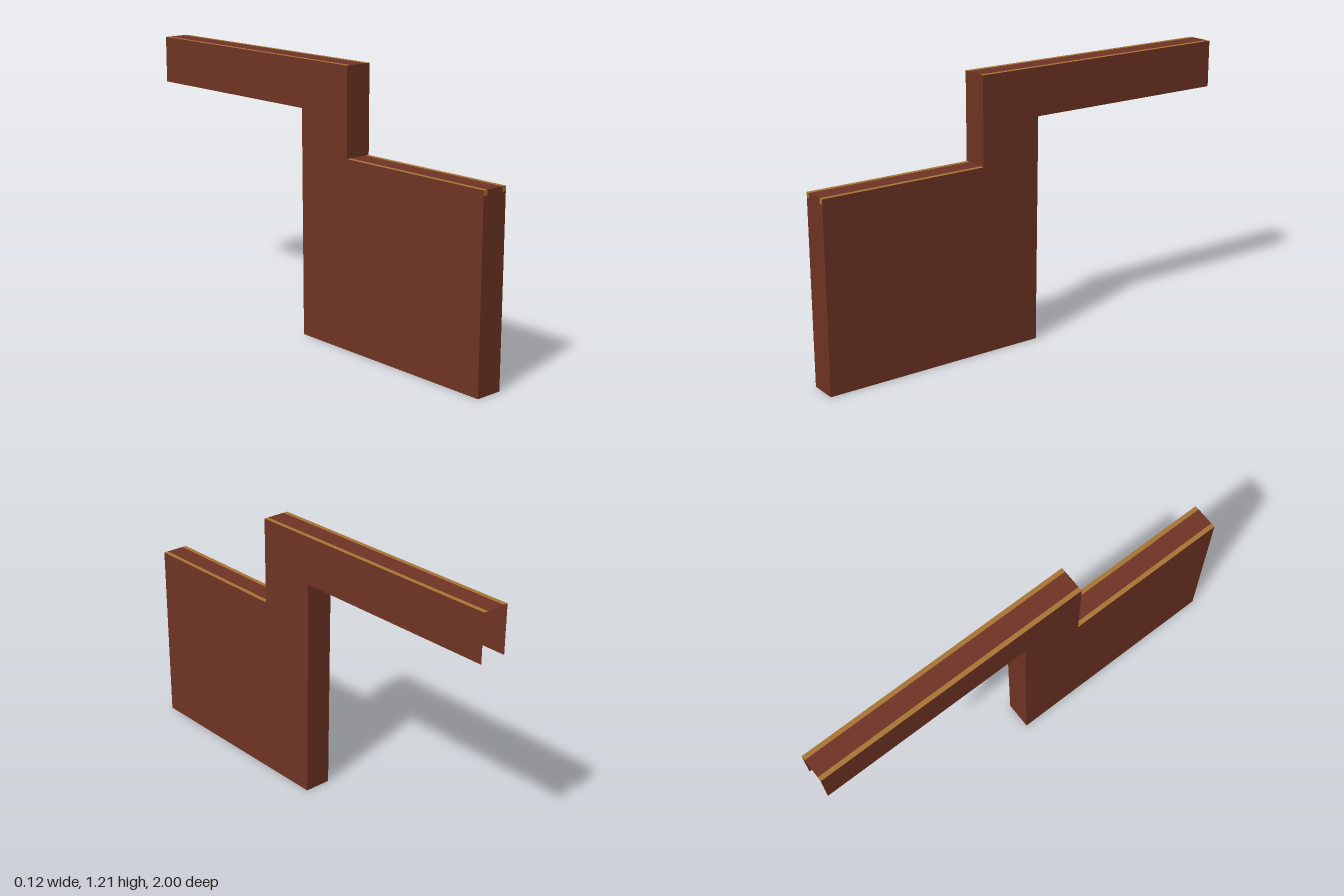
import * as THREE from 'three';

const HALF = 0.062; // half thickness of the hollow casing
const TRIM = 0.042; // inner edge of the trim strips

export function createModel() {
  const model = new THREE.Group();
  const brown = new THREE.MeshStandardMaterial({ color: 0x703424, side: THREE.DoubleSide });
  brown.name = 'reddish brown';
  const gold = new THREE.MeshStandardMaterial({ color: 0xa87434, side: THREE.DoubleSide });
  gold.name = 'gold';

  const add = (name, geometry, material) => {
    const mesh = new THREE.Mesh(geometry, material);
    mesh.name = name;
    model.add(mesh);
  };

  // Flat panel spanning x0..x1, running from [z, y] point a to point b
  const panel = (name, a, b, x0, x1, material) => {
    const g = new THREE.BufferGeometry();
    g.setAttribute('position', new THREE.Float32BufferAttribute([
      x0, a[1], a[0], x1, a[1], a[0], x1, b[1], b[0], x0, b[1], b[0]], 3));
    g.setIndex([0, 1, 2, 0, 2, 3]);
    g.computeVertexNormals();
    add(name, g, material);
  };

  // Panel with a gold strip along both long edges
  const trimmedPanel = (name, a, b) => {
    panel(name, a, b, -TRIM, TRIM, brown);
    panel(name + 'RightTrim', a, b, -HALF, -TRIM, gold);
    panel(name + 'LeftTrim', a, b, TRIM, HALF, gold);
  };

  // Side outline as [z, y]: deep body, raised neck and long rear arm
  const outline = [[1, 0], [1, 0.825], [0.25, 0.825], [0.25, 1.21],
    [-1, 1.21], [-1, 1], [-0.03, 1], [-0.02, 0]];

  // Side walls
  const shape = new THREE.Shape(outline.map(([z, y]) => new THREE.Vector2(-z, y)));
  for (const [name, x] of [['rightWall', -HALF], ['leftWall', HALF]]) {
    add(name, new THREE.ShapeGeometry(shape).rotateY(Math.PI / 2).translate(x, 0, 0), brown);
  }

  // Front, top and rear panels; the body floor, arm underside and arm end stay open
  const [p0, p1, p2, p3, p4, , p6, p7] = outline;
  const lip = [1, 0.803];
  panel('bodyFront', p0, lip, -HALF, HALF, brown);
  trimmedPanel('bodyFrontLip', lip, p1);
  trimmedPanel('bodyTop', p1, p2);
  panel('neckFront', p2, p3, -HALF, HALF, brown);
  trimmedPanel('armTop', p3, p4);
  panel('bodyBack', p6, p7, -HALF, HALF, brown);

  return model;
}
